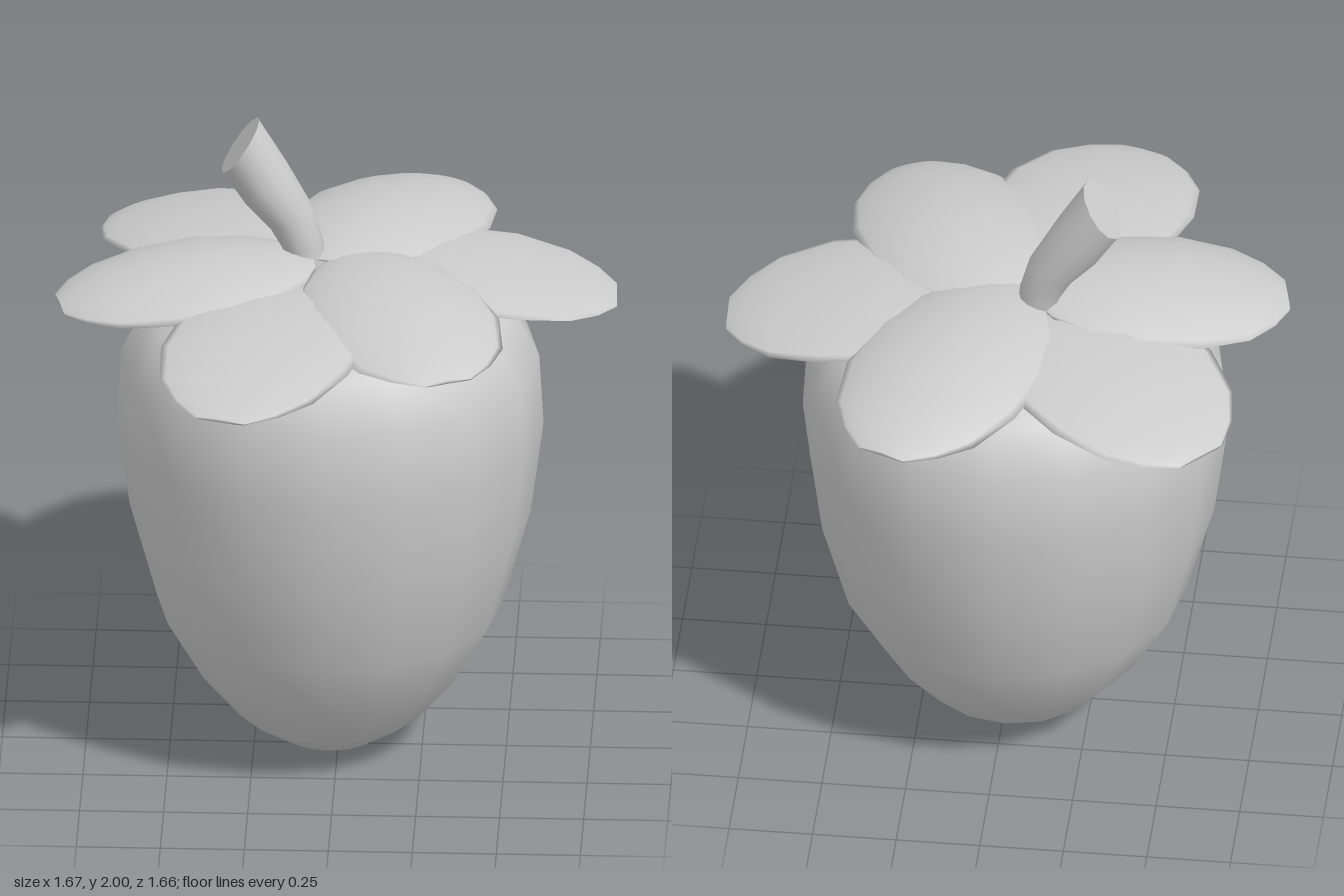
import * as THREE from 'three';

const material = new THREE.MeshStandardMaterial({ color: 0xcccccc, side: THREE.DoubleSide });

// Skin a series of closed rings with equal point counts
function loft(rings) {
  const n = rings[0].length, index = [];
  for (let i = 0; i < rings.length - 1; i++) {
    for (let j = 0; j < n; j++) {
      const k = (j + 1) % n;
      const a = i * n + j, b = a + n, c = i * n + k, d = c + n;
      index.push(a, b, c, b, d, c);
    }
  }
  const geometry = new THREE.BufferGeometry().setFromPoints(rings.flat());
  geometry.setIndex(index);
  geometry.computeVertexNormals();
  return geometry;
}

function addMesh(group, name, geometry) {
  const mesh = new THREE.Mesh(geometry, material);
  mesh.name = name;
  group.add(mesh);
  return mesh;
}

// Leaf outline: [position along the leaf, share of the half width]
const OUTLINE = [[0, 0], [0, 0.2], [0.06, 0.5], [0.2, 0.82], [0.4, 1], [0.62, 1],
  [0.82, 0.82], [0.93, 0.56], [1, 0.27], [1, 0]];

// Thin arched leaf from its base to its tip, drooping outwards
function leafGeometry({ base, tip, half, y0, y1, hump, camber }) {
  const start = new THREE.Vector3(base[0], 0, base[1]);
  const end = new THREE.Vector3(tip[0], 0, tip[1]);
  const dir = end.clone().sub(start).normalize();
  const side = new THREE.Vector3(-dir.z, 0, dir.x);
  const n = 16;
  const rings = OUTLINE.map(([t, w]) => Array.from({ length: n }, (_, j) => {
    const angle = j / n * Math.PI * 2, v = w * Math.cos(angle);
    const p = start.clone().lerp(end, t).addScaledVector(side, v * half);
    p.y = y0 + (y1 - y0) * t * t + hump * Math.sin(Math.PI * t)
      - camber * v * v + 0.014 * Math.sin(angle) * Math.min(1, w * 1.5);
    return p;
  }));
  return loft(rings);
}

export function createModel() {
  const group = new THREE.Group();

  // Fruit body
  const profile = [[0, 0.005], [0.145, 0.035], [0.28, 0.125], [0.4, 0.27], [0.515, 0.47],
    [0.597, 0.77], [0.635, 1.06], [0.622, 1.28], [0.54, 1.43], [0.4, 1.475], [0, 1.477]];
  const body = addMesh(group, 'fruitBody',
    new THREE.LatheGeometry(profile.map(([r, y]) => new THREE.Vector2(r, y)), 16));
  body.position.set(-0.025, 0, -0.025);

  // Three lower leaves, sloping down
  const lower = { y0: 1.535, y1: 1.445, hump: 0.03, camber: 0.025 };
  [
    { base: [0.05, -0.08], tip: [0.825, -0.11], half: 0.3 },
    { base: [-0.08, 0.04], tip: [-0.32, 0.81], half: 0.295 },
    { base: [-0.05, -0.09], tip: [-0.65, -0.65], half: 0.31 },
  ].forEach((leaf) => addMesh(group, 'lowerLeaf', leafGeometry({ ...lower, ...leaf })));

  // Three upper leaves, more arched
  const upper = { y0: 1.57, y1: 1.49, hump: 0.045, camber: 0.065 };
  [
    { base: [-0.02, -0.04], tip: [0.29, -0.8], half: 0.285 },
    { base: [0.04, -0.1], tip: [0.35, 0.61], half: 0.28 },
    { base: [-0.08, -0.06], tip: [-0.825, 0.11], half: 0.275 },
  ].forEach((leaf) => addMesh(group, 'upperLeaf', leafGeometry({ ...upper, ...leaf })));

  // Leaning stem: rings of [x, y, tilt, radius]; the doubled ring keeps the cap edge sharp
  const stem = [[-0.1, 1.52, 0, 0.06], [-0.11, 1.6, 0.2, 0.063], [-0.145, 1.69, 0.45, 0.074],
    [-0.22, 1.8, 0.75, 0.09], [-0.295, 1.92, 0.96, 0.098], [-0.295, 1.92, 0.96, 0.098],
    [-0.295, 1.92, 0.96, 0]];
  addMesh(group, 'stem', loft(stem.map(([x, y, tilt, r]) => Array.from({ length: 12 }, (_, j) => {
    const a = j / 6 * Math.PI, u = r * Math.cos(a);
    return new THREE.Vector3(x + u * Math.cos(tilt), y + u * Math.sin(tilt), -0.1 + r * Math.sin(a));
  }))));

  return group;
}
